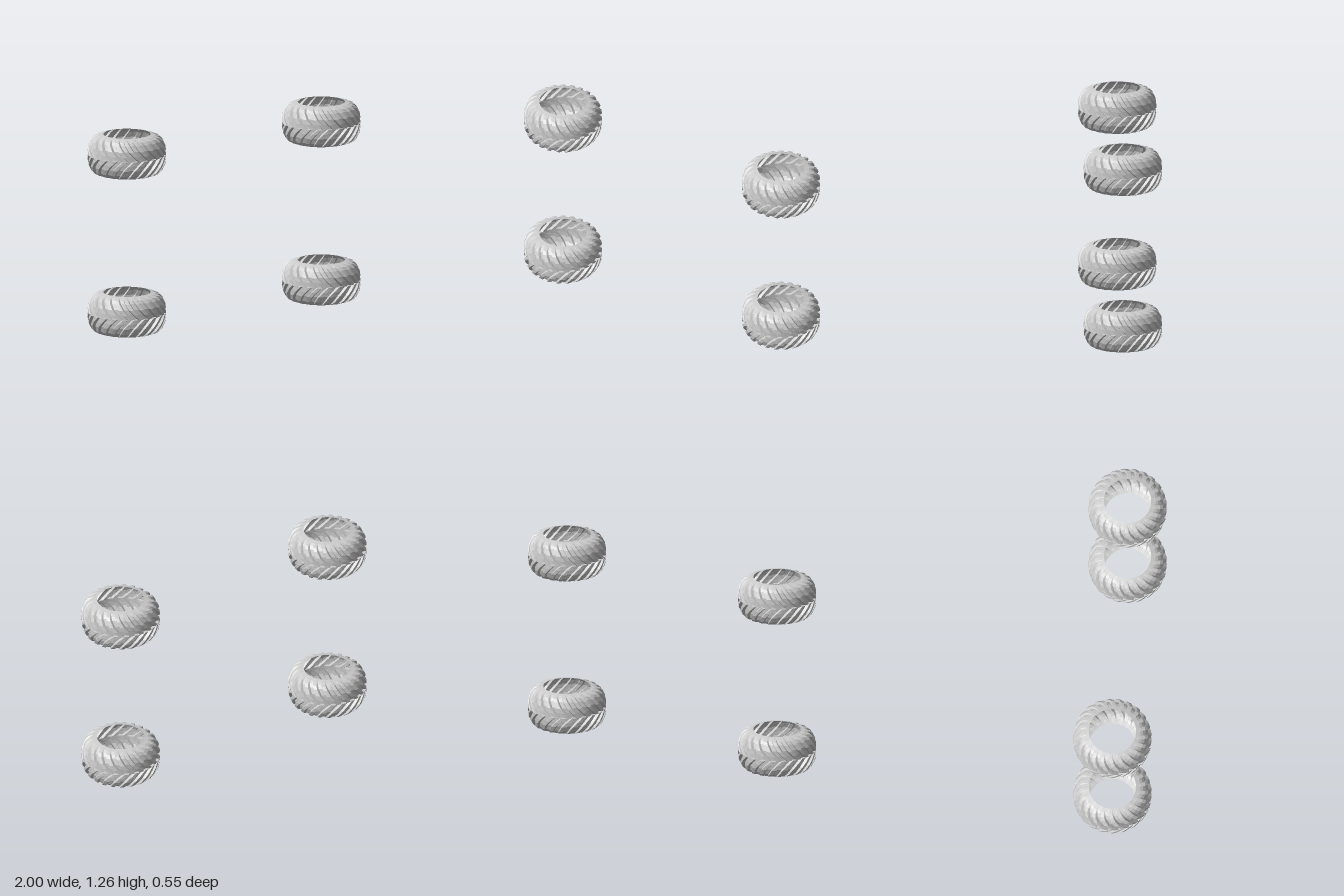
import * as THREE from 'three';

const LUGS = 22;
const PITCH = (Math.PI * 2) / LUGS;

// Half cross-section from the centre line to the bead: [height, groove radius, lug radius, backward sweep]
const PROFILE = [
  [0, 0.224, 0.224, 0],
  [0, 0.224, 0.242, 0],
  [0.03, 0.223, 0.242, 0.14],
  [0.06, 0.22, 0.238, 0.26],
  [0.095, 0.205, 0.221, 0.36],
  [0.112, 0.189, 0.204, 0.41],
  [0.122, 0.172, 0.177, 0.45],
  [0.129, 0.146, 0.146, 0.47],
];

// Stations across one pitch: [fraction of the pitch, is on the lug]
const STATIONS = [[0, 0], [0.21, 0], [0.42, 0], [0.52, 1], [0.72, 1], [0.92, 1]];

// One half of the tyre shell; side is +1 for the upper half, -1 for the lower
function halfTyre(side) {
  const positions = [];
  const indices = [];
  const columns = LUGS * STATIONS.length;
  const stagger = side > 0 ? 0 : PITCH / 2;

  PROFILE.forEach(([y, groove, lug, sweep]) => {
    for (let i = 0; i < columns; i++) {
      const [t, onLug] = STATIONS[i % STATIONS.length];
      const a = (Math.floor(i / STATIONS.length) + t) * PITCH + stagger - sweep;
      const r = onLug ? lug : groove;
      positions.push(r * Math.cos(a), side * y, -r * Math.sin(a));
    }
  });

  for (let j = 0; j < PROFILE.length - 1; j++) {
    for (let i = 0; i < columns; i++) {
      const next = (i + 1) % columns;
      const a = j * columns + i;
      const b = j * columns + next;
      const c = b + columns;
      const d = a + columns;
      if (side > 0) indices.push(a, b, c, a, c, d);
      else indices.push(a, c, b, a, d, c);
    }
  }

  const geometry = new THREE.BufferGeometry();
  geometry.setAttribute('position', new THREE.Float32BufferAttribute(positions, 3));
  geometry.setIndex(indices);
  geometry.computeVertexNormals();
  return geometry;
}

export function createModel() {
  const model = new THREE.Group();
  model.name = 'tyreSet';
  const material = new THREE.MeshStandardMaterial({
    color: 0xcccccc,
    flatShading: true,
    side: THREE.DoubleSide,
  });
  const upper = halfTyre(1);
  const lower = halfTyre(-1);

  // Two stacked levels, one tyre on each side
  for (const [level, y] of [['lower', 0.129], ['upper', 1.129]]) {
    for (const [sideName, x, z] of [['Left', 0.758, -0.034], ['Right', -0.758, 0.034]]) {
      const tyre = new THREE.Group();
      tyre.name = `${level}${sideName}Tyre`;
      const top = new THREE.Mesh(upper, material);
      top.name = 'upperTread';
      const bottom = new THREE.Mesh(lower, material);
      bottom.name = 'lowerTread';
      tyre.add(top, bottom);
      tyre.position.set(x, y, z);
      model.add(tyre);
    }
  }
  return model;
}
